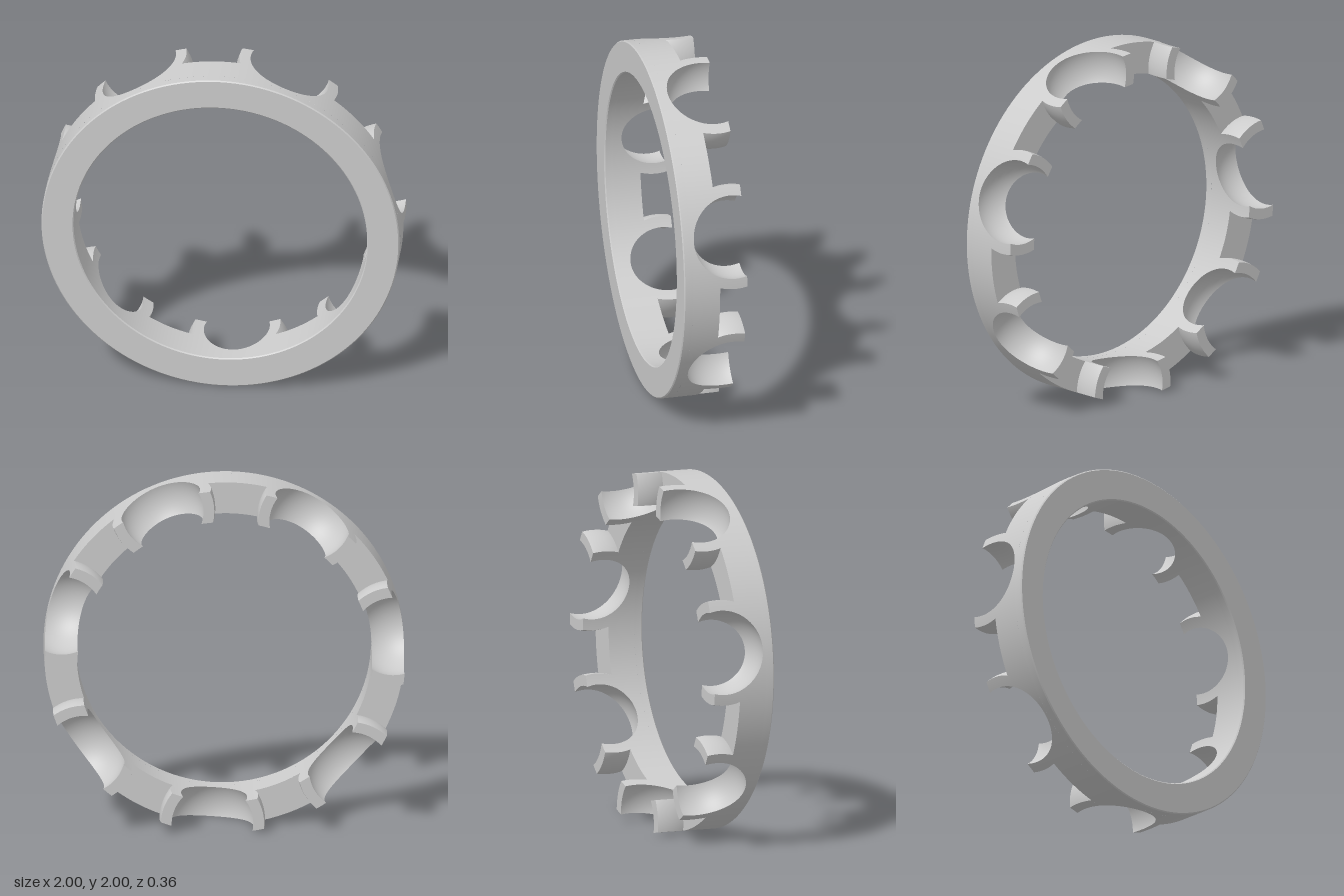
import * as THREE from 'three';
import { mergeGeometries, toCreasedNormals } from 'three/addons/utils/BufferGeometryUtils.js';
import { ParametricGeometry } from 'three/addons/geometries/ParametricGeometry.js';

const COUNT = 7;                 // ball pockets around the cage
const START = 17.1 * Math.PI / 180;
const HALF = Math.PI / COUNT;    // half of one sector
const R_IN = 0.82, R_OUT = 1;
const Z_FRONT = 0.18, Z_RIM = 0.13, Z_BACK = -0.025, Z_TIP = -0.18;

// Pocket: a sphere; the claws are a shell around it
const PITCH = 0.947, Z_BALL = -0.115, BALL = 0.236, SHELL = 0.294;
const H_BASE = Z_BACK - Z_BALL, H_TIP = Z_TIP - Z_BALL;

const mix = THREE.MathUtils.lerp;

// Angle at which a sphere of the given radius cuts radius rho at height h above the ball centre
function cutAngle(rho, h, radius) {
  const c = (rho * rho + PITCH * PITCH + h * h - radius * radius) / (2 * rho * PITCH);
  return Math.acos(Math.min(1, c));
}

// Point on the pocket floor edge: t = 0 at its deepest, t = 1 level with the ring's back
function floorPoint(rho, t) {
  const deep = Math.sqrt(BALL * BALL - (rho - PITCH) ** 2);
  const h = deep * Math.cos(t * Math.acos(H_BASE / deep));
  return { angle: cutAngle(rho, h, BALL), z: Z_BALL + h };
}

// Surface patch in (rho, angle, z), for the chosen side of the pocket
function patch(side, flip, nu, nv, f) {
  const reverse = flip !== (side < 0);
  return new ParametricGeometry((u, v, target) => {
    const [rho, angle, z] = f(reverse ? 1 - u : u, v);
    target.set(rho * Math.cos(angle * side), rho * Math.sin(angle * side), z);
  }, nu, nv);
}

function ringBodyGeometry() {
  const parts = [];
  for (const side of [1, -1]) {
    for (const rho of [R_OUT, R_IN]) {
      const flip = rho === R_IN;
      // wall under the pocket
      parts.push(patch(side, flip, 16, 2, (u, v) => {
        const p = floorPoint(rho, u);
        return [rho, p.angle, mix(p.z, Z_RIM, v)];
      }));
      // wall between pockets
      const from = cutAngle(rho, H_BASE, BALL);
      parts.push(patch(side, flip, 10, 2, (u, v) => [rho, mix(from, HALF, u), mix(Z_BACK, Z_RIM, v)]));
    }
    // flat back between claws
    parts.push(patch(side, true, 8, 8, (u, v) => {
      const rho = mix(R_IN, R_OUT, u);
      return [rho, mix(cutAngle(rho, H_BASE, SHELL), HALF, v), Z_BACK];
    }));
  }
  return mergeGeometries(parts);
}

function pocketGeometry() {
  return mergeGeometries([1, -1].map(side => patch(side, true, 8, 16, (u, v) => {
    const rho = mix(R_IN, R_OUT, u), p = floorPoint(rho, v);
    return [rho, p.angle, p.z];
  })));
}

function clawGeometry(side) {
  const height = t => mix(H_TIP, H_BASE, t);
  const parts = [];
  // inner and outer rim faces
  for (const rho of [R_OUT, R_IN]) {
    parts.push(patch(side, rho === R_IN, 3, 12, (u, v) => {
      const h = height(v);
      return [rho, mix(cutAngle(rho, h, BALL), cutAngle(rho, h, SHELL), u), Z_BALL + h];
    }));
  }
  // hollow face towards the ball, rounded face away from it
  for (const radius of [BALL, SHELL]) {
    parts.push(patch(side, radius === SHELL, 8, 12, (u, v) => {
      const rho = mix(R_IN, R_OUT, u), h = height(v);
      return [rho, cutAngle(rho, h, radius), Z_BALL + h];
    }));
  }
  // flat tip
  parts.push(patch(side, true, 8, 3, (u, v) => {
    const rho = mix(R_IN, R_OUT, u);
    return [rho, mix(cutAngle(rho, H_TIP, BALL), cutAngle(rho, H_TIP, SHELL), v), Z_TIP];
  }));
  return mergeGeometries(parts);
}

// Solid front of the ring with slightly eased edges
function frontRimGeometry() {
  const b = 0.006;
  const profile = [
    [R_OUT, Z_RIM], [R_OUT, Z_FRONT - b], [R_OUT - b, Z_FRONT],
    [R_IN + b, Z_FRONT], [R_IN, Z_FRONT - b], [R_IN, Z_RIM],
  ].map(([x, y]) => new THREE.Vector2(x, y));
  return toCreasedNormals(new THREE.LatheGeometry(profile, COUNT * 20).rotateX(Math.PI / 2), 0.5);
}

export function createModel() {
  const model = new THREE.Group();
  model.name = 'ballBearingCage';
  const material = new THREE.MeshStandardMaterial({ color: 0xcccccc });
  const add = (parent, name, geometry) => {
    const mesh = new THREE.Mesh(geometry, material);
    mesh.name = name;
    parent.add(mesh);
  };

  add(model, 'frontRim', frontRimGeometry());

  const shapes = {
    ringBody: ringBodyGeometry(),
    ballPocket: pocketGeometry(),
    leftClaw: clawGeometry(1),
    rightClaw: clawGeometry(-1),
  };
  for (let i = 0; i < COUNT; i++) {
    const sector = new THREE.Group();
    sector.name = `sector${i + 1}`;
    sector.rotation.z = START + i * 2 * HALF;
    for (const [name, geometry] of Object.entries(shapes)) add(sector, name, geometry);
    model.add(sector);
  }

  model.position.y = 1;
  return model;
}
